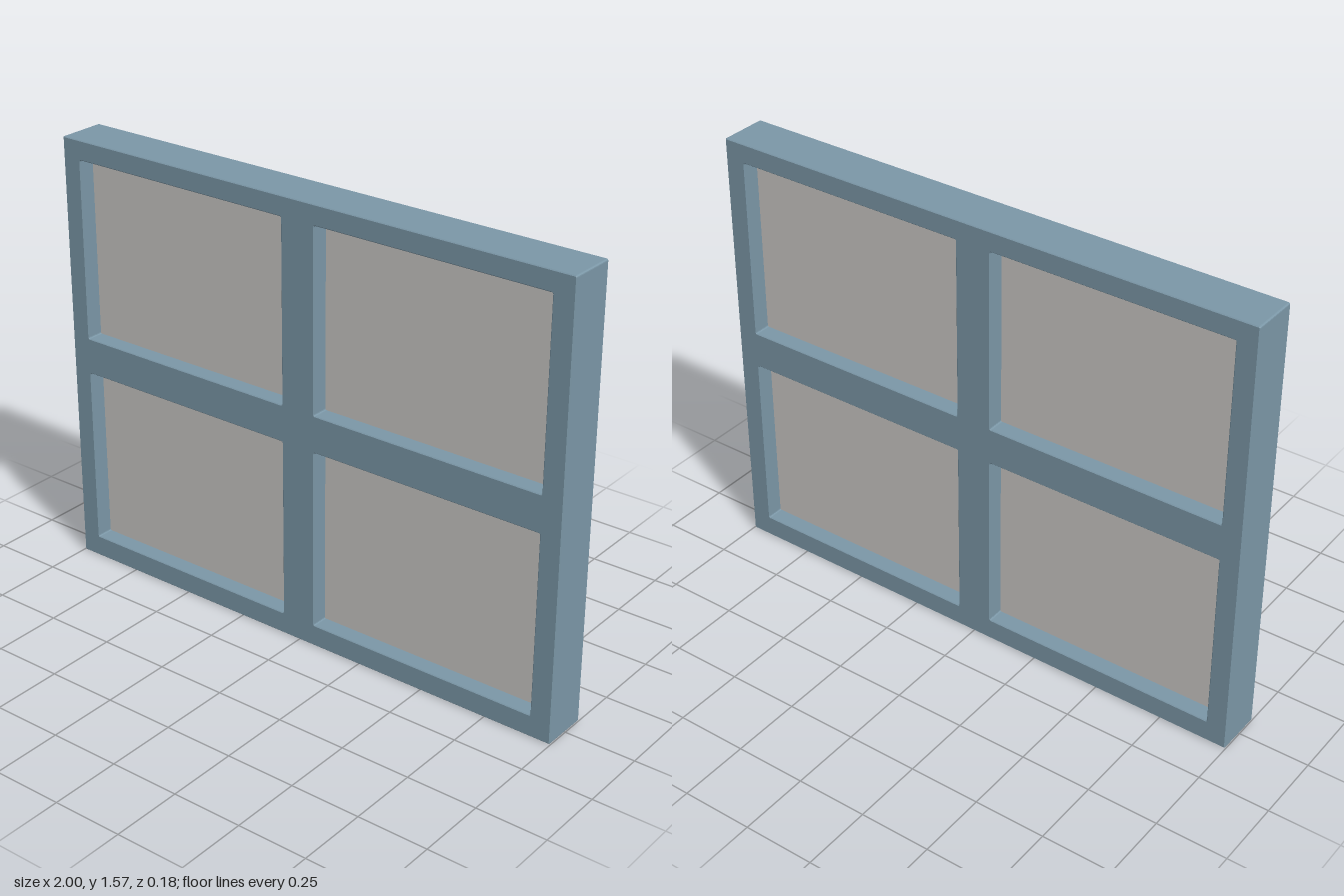
import * as THREE from 'three';

const HALF_W = 0.995, HEIGHT = 1.57, DEPTH = 0.17, PANE_DEPTH = 0.05;
const COLUMNS = [[-0.928, -0.065], [0.06, 0.925]];
const ROWS = [[0.075, 0.727], [0.853, 1.503]];

// Rectangle outline with slightly eased corners
function roundedRect(path, x0, y0, x1, y1, r) {
  path.moveTo(x0 + r, y0);
  path.lineTo(x1 - r, y0);
  path.quadraticCurveTo(x1, y0, x1, y0 + r);
  path.lineTo(x1, y1 - r);
  path.quadraticCurveTo(x1, y1, x1 - r, y1);
  path.lineTo(x0 + r, y1);
  path.quadraticCurveTo(x0, y1, x0, y1 - r);
  path.lineTo(x0, y0 + r);
  path.quadraticCurveTo(x0, y0, x0 + r, y0);
  return path;
}

export function createModel() {
  const frameMaterial = new THREE.MeshStandardMaterial({ color: 0x7c98a8 });
  frameMaterial.name = 'blueGreyFrame';
  const paneMaterial = new THREE.MeshStandardMaterial({ color: 0xcbc9c6 });
  paneMaterial.name = 'paleGreyPane';

  const model = new THREE.Group();
  model.name = 'window';

  // Frame with crossing bars: one slab with four openings
  const outline = roundedRect(new THREE.Shape(), -HALF_W, 0.003, HALF_W, HEIGHT - 0.003, 0.003);
  for (const [x0, x1] of COLUMNS) {
    for (const [y0, y1] of ROWS) {
      outline.holes.push(roundedRect(new THREE.Path(), x0, y0, x1, y1, 0.008));

      // Pane set midway in the opening, tucked into the frame
      const pane = new THREE.Mesh(
        new THREE.BoxGeometry(x1 - x0 + 0.02, y1 - y0 + 0.02, PANE_DEPTH), paneMaterial);
      pane.position.set((x0 + x1) / 2, (y0 + y1) / 2, 0);
      pane.name = 'pane';
      model.add(pane);
    }
  }
  // Tiny bevel softens the outer and inner edges
  const bevel = 0.003;
  const geometry = new THREE.ExtrudeGeometry(outline, {
    depth: DEPTH - 2 * bevel, curveSegments: 3,
    bevelEnabled: true, bevelThickness: bevel, bevelSize: bevel, bevelSegments: 1,
  });
  geometry.translate(0, 0, -DEPTH / 2 + bevel);
  const frame = new THREE.Mesh(geometry, frameMaterial);
  frame.name = 'frame';
  model.add(frame);

  // The window stands very slightly turned
  model.rotation.y = -0.004;
  return model;
}
